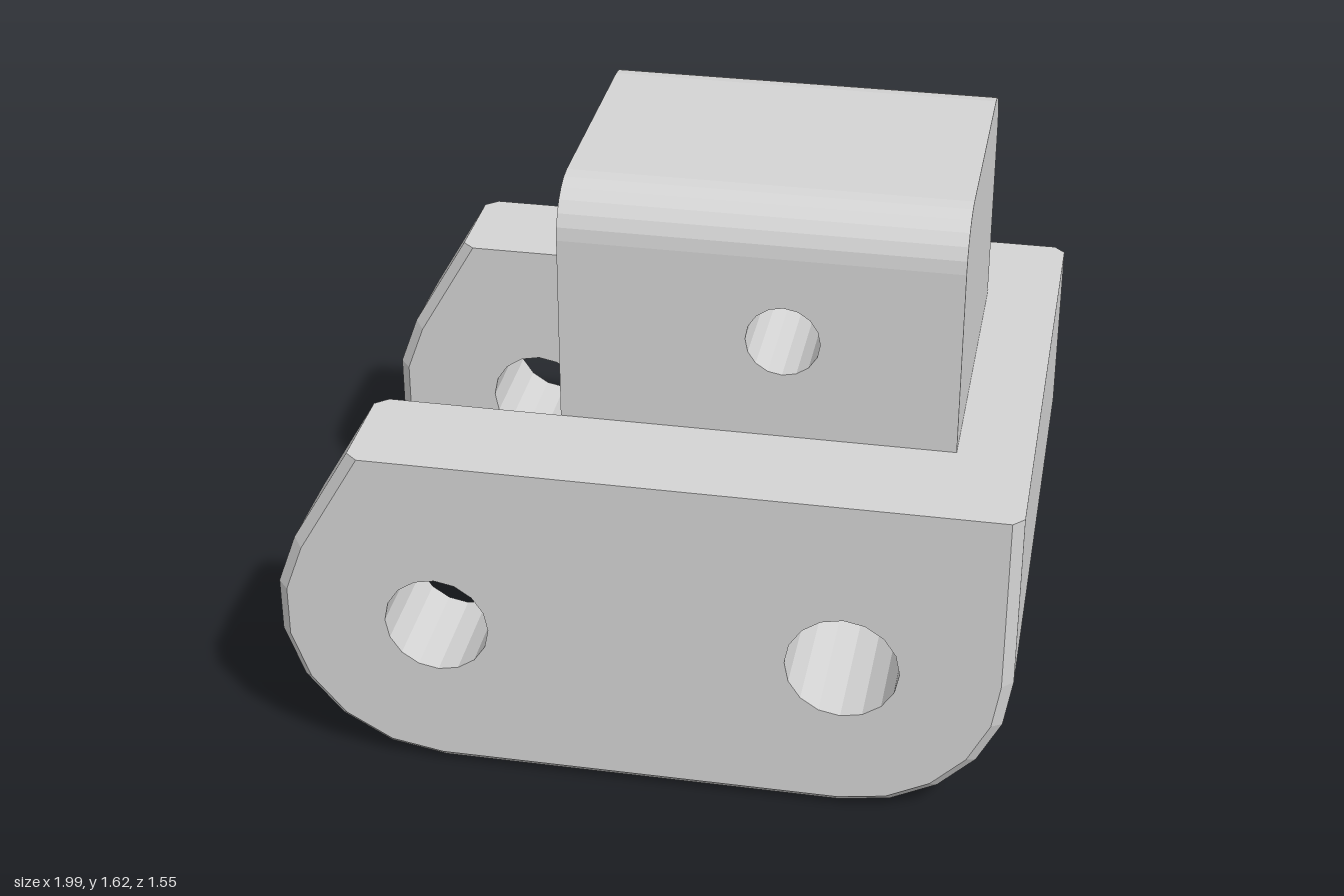
import * as THREE from 'three';

const TOP = 0.955, R = 0.45, CX = 0.55, INNER = 0.455, OUTER = 0.777, BEVEL = 0.03;
const BLOCK_L = -0.267, BLOCK_R = 0.797, SHOULDER = 1.48, PEAK = 1.62;
const V = (x, y) => new THREE.Vector2(x, y);

// Points on an arc, angles in degrees
function arc(cx, cy, r, from, to, n) {
  return Array.from({ length: n + 1 }, (_, i) => {
    const a = THREE.MathUtils.degToRad(from + ((to - from) * i) / n);
    return V(cx + r * Math.cos(a), cy + r * Math.sin(a));
  });
}

const hole = (x, y, r) => arc(x, y, r, 360, 0, 16).slice(0, -1);
const leftHole = hole(-CX, 0.455, 0.143);
const rightHole = hole(CX, 0.455, 0.153);
const pinHole = hole(0.33, 1.24, 0.099);

// Arm outline inset by d everywhere except along the flat top
function armOutline(d) {
  const r = R - d, cos30 = Math.cos(Math.PI / 6);
  return [
    V(1 - d, TOP),
    V(-CX - (r - (TOP - R) * 0.5) / cos30, TOP),
    ...arc(-CX, R, r, 150, 270, 6),
    ...arc(CX, R, r, 270, 360, 5),
  ];
}

// Side plate with chamfered edges and two through holes
function armGeometry(z0, z1) {
  const pos = [];
  const tri = (...ps) => ps.forEach((p) => pos.push(...p));
  const at = (p, z) => [p.x, p.y, z];
  const wall = (a, za, b, zb) => a.forEach((p, i) => {
    const j = (i + 1) % a.length;
    tri(at(p, za), at(a[j], za), at(b[j], zb));
    tri(at(p, za), at(b[j], zb), at(b[i], zb));
  });
  const full = armOutline(0), inset = armOutline(BEVEL);
  wall(inset, z0, full, z0 + BEVEL);
  wall(full, z0 + BEVEL, full, z1 - BEVEL);
  wall(full, z1 - BEVEL, inset, z1);
  const holes = [leftHole, rightHole];
  holes.forEach((h) => wall(h, z0, h, z1));
  const all = [...inset, ...leftHole, ...rightHole];
  for (const [a, b, c] of THREE.ShapeUtils.triangulateShape(inset, holes)) {
    tri(at(all[a], z1), at(all[b], z1), at(all[c], z1));
    tri(at(all[a], z0), at(all[c], z0), at(all[b], z0));
  }
  const g = new THREE.BufferGeometry();
  g.setAttribute('position', new THREE.Float32BufferAttribute(pos, 3));
  g.computeVertexNormals();
  return g;
}

// Straight extrusion centred on its own axis
function slab(points, holes, depth) {
  const shape = new THREE.Shape(points);
  holes.forEach((h) => shape.holes.push(new THREE.Path(h)));
  return new THREE.ExtrudeGeometry(shape, { depth, bevelEnabled: false }).translate(0, 0, -depth / 2);
}

export function createModel() {
  const group = new THREE.Group();
  const grey = new THREE.MeshStandardMaterial({ color: 0xd4d4d4 });
  grey.name = 'light grey';
  const add = (name, geometry) => {
    const mesh = new THREE.Mesh(geometry, grey);
    mesh.name = name;
    group.add(mesh);
  };

  // Two arms
  add('frontArm', armGeometry(INNER, OUTER));
  add('backArm', armGeometry(-OUTER, -INNER));

  // Bridge joining the arms, undercut towards the open end; it also fills their inner chamfers
  add('bridge', slab(
    [V(BLOCK_L, TOP), V(BLOCK_L, 0.76), V(0.06, 0.27), V(0.3, 0), ...arc(CX, R, R, 270, 360, 5), V(1, TOP)],
    [rightHole], 2 * (INNER + BEVEL)));

  // Upright block with a pin hole
  add('uprightBlock', slab(
    [V(BLOCK_L, TOP), V(BLOCK_R, TOP), V(BLOCK_R, SHOULDER), V(BLOCK_L, SHOULDER)],
    [pinHole], 2 * INNER));

  // Rounded top of the block, extruded along x
  const r = PEAK - SHOULDER;
  const cap = slab(
    [...arc(INNER - r, SHOULDER, r, 0, 90, 6), ...arc(r - INNER, SHOULDER, r, 90, 180, 6)],
    [], BLOCK_R - BLOCK_L);
  cap.rotateY(Math.PI / 2).translate((BLOCK_L + BLOCK_R) / 2, 0, 0);
  add('roundedTop', cap);

  return group;
}
